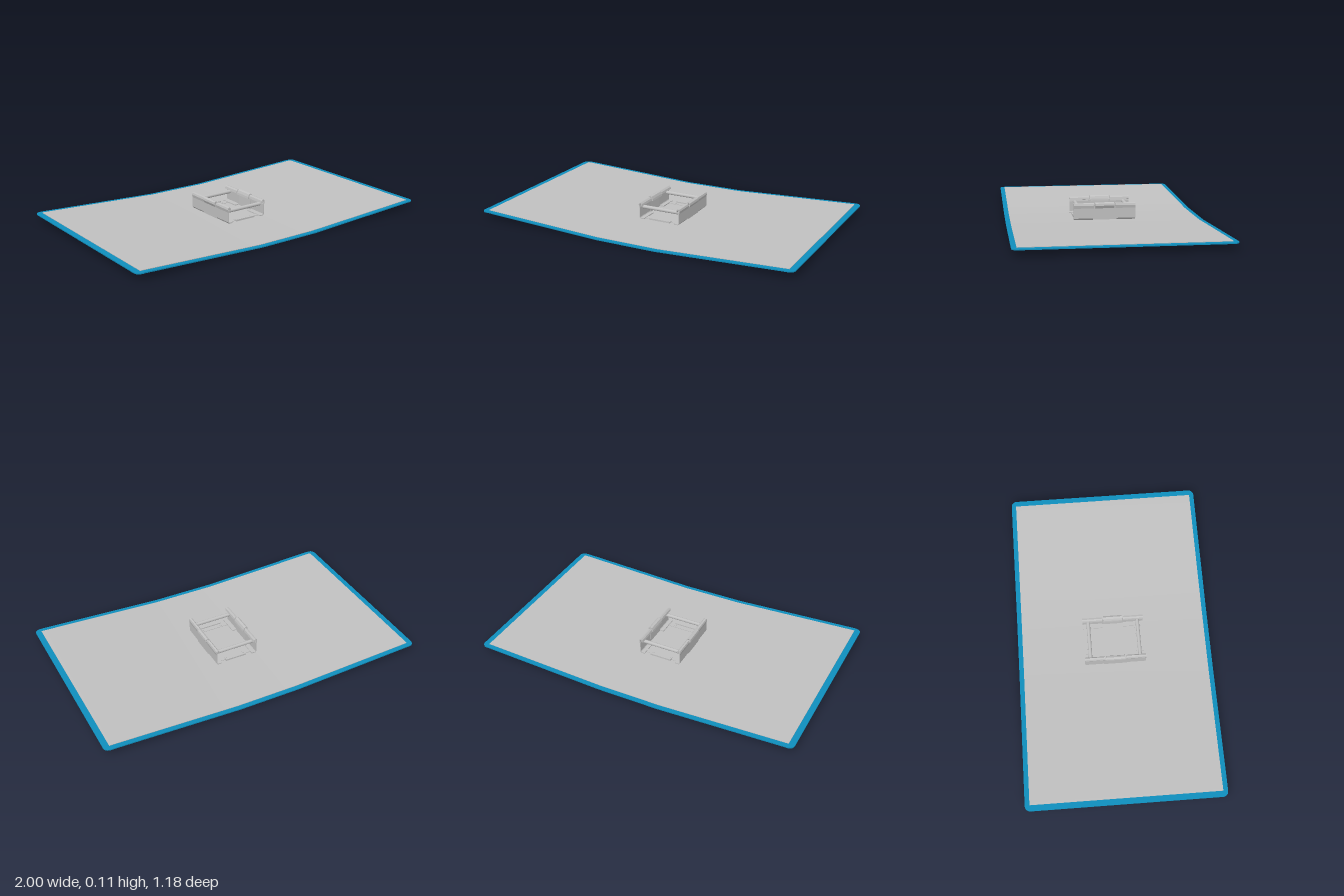
import * as THREE from 'three';

const blue = new THREE.MeshStandardMaterial({ color: 0x0f8ebc });
blue.name = 'cover blue';
const grey = new THREE.MeshStandardMaterial({ color: 0xc0c0c0 });
grey.name = 'light grey';

// Height of the open cover: flat spine, sloping boards, level outer edges
function bend(x) {
  const t = THREE.MathUtils.clamp((Math.abs(x) - 0.19) / 0.76, 0, 1);
  return 0.035 * t;
}

// Thin bent sheet with rounded corners, resting between y0 and y1 at the spine
function bentSheet(name, halfW, halfD, r, y0, y1, material) {
  const half = [0.1, 0.19, 0.35, 0.55, 0.75, 0.9, 0.95].filter((x) => x < halfW - r - 0.001)
    .map((x) => [x, halfD]);
  for (let i = 0; i <= 6; i++) {
    const a = (i / 6) * Math.PI / 2;
    half.push([halfW - r + r * Math.sin(a), halfD - r + r * Math.cos(a)]);
  }
  const stations = [...half.map(([x, d]) => [-x, d]).reverse(), [0, halfD], ...half];
  const n = stations.length - 1;
  const geo = new THREE.BoxGeometry(2, 2, 2, n, 1, 1);
  const p = geo.attributes.position;
  for (let i = 0; i < p.count; i++) {
    const [x, d] = stations[Math.round((p.getX(i) + 1) / 2 * n)];
    const y = p.getY(i) > 0 ? y1 : y0;
    p.setXYZ(i, x, y + bend(x), Math.sign(p.getZ(i)) * d);
  }
  geo.computeVertexNormals();
  const mesh = new THREE.Mesh(geo, material);
  mesh.name = name;
  return mesh;
}

// Folded metal strip: a centre line in x,y thickened and extruded along z
function foldedStrip(name, points, thickness, z0, z1) {
  const pts = points.map(([x, y]) => new THREE.Vector2(x, y));
  const side = (s) => pts.map((p, i) => {
    const dir = pts[Math.min(i + 1, pts.length - 1)].clone().sub(pts[Math.max(i - 1, 0)]).normalize();
    return new THREE.Vector2(p.x - dir.y * s, p.y + dir.x * s);
  });
  const outline = [...side(thickness / 2), ...side(-thickness / 2).reverse()];
  const geo = new THREE.ExtrudeGeometry(new THREE.Shape(outline), { depth: z1 - z0, bevelEnabled: false });
  geo.translate(0, 0, z0);
  const mesh = new THREE.Mesh(geo, grey);
  mesh.name = name;
  return mesh;
}

function box(name, w, h, d, x, y, z) {
  const mesh = new THREE.Mesh(new THREE.BoxGeometry(w, h, d), grey);
  mesh.name = name;
  mesh.position.set(x, y, z);
  return mesh;
}

export function createModel() {
  const model = new THREE.Group();
  model.name = 'openFolder';

  // Cover, inner lining and the spine strip underneath
  model.add(bentSheet('cover', 1, 0.588, 0.032, 0.001, 0.007, blue));
  model.add(bentSheet('lining', 0.965, 0.56, 0.002, 0.007, 0.01, grey));
  model.add(box('spineStrip', 0.37, 0.002, 1.12, 0, 0.001, 0));

  const clip = new THREE.Group();
  clip.name = 'clip';
  model.add(clip);

  // Side walls: foot, upright and rolled top, with a raised middle tab
  const endPath = [[0.102, 0.013], [0.126, 0.013], [0.131, 0.02], [0.131, 0.08],
    [0.135, 0.097], [0.132, 0.106], [0.125, 0.108], [0.119, 0.102], [0.116, 0.09]];
  const tabPath = [[0.128, 0.013], [0.131, 0.08], [0.14, 0.097], [0.138, 0.107],
    [0.13, 0.112], [0.121, 0.108], [0.115, 0.095], [0.113, 0.083]];
  for (const s of [1, -1]) {
    const wall = new THREE.Group();
    wall.name = s > 0 ? 'leftWall' : 'rightWall';
    wall.add(foldedStrip('rearWall', endPath, 0.006, -0.185, -0.064));
    wall.add(foldedStrip('frontWall', endPath, 0.006, 0.064, 0.185));
    wall.add(foldedStrip('rolledTab', tabPath, 0.006, -0.057, 0.057));
    wall.add(box('lowerWall', 0.006, 0.078, 0.14, 0.131, 0.051, 0));
    wall.scale.x = s;
    clip.add(wall);
  }

  // Cross bars, low end tabs and rivets
  for (const s of [1, -1]) {
    const bar = new THREE.Mesh(new THREE.CylinderGeometry(0.011, 0.011, 0.25, 20), grey);
    bar.name = s > 0 ? 'frontBar' : 'rearBar';
    bar.rotation.z = Math.PI / 2;
    bar.position.set(0, 0.076, s * 0.15);
    clip.add(bar);
    clip.add(box('endTab', 0.135, 0.01, 0.014, 0, 0.015, s * 0.171));
    clip.add(box('basePlate', 0.22, 0.003, 0.03, 0, 0.0115, s * 0.15));
    for (const x of [-0.06, 0.06]) {
      const rivet = new THREE.Mesh(new THREE.CylinderGeometry(0.007, 0.007, 0.004, 16), grey);
      rivet.name = 'rivet';
      rivet.position.set(x, 0.014, s * 0.15);
      clip.add(rivet);
    }
  }
  return model;
}
